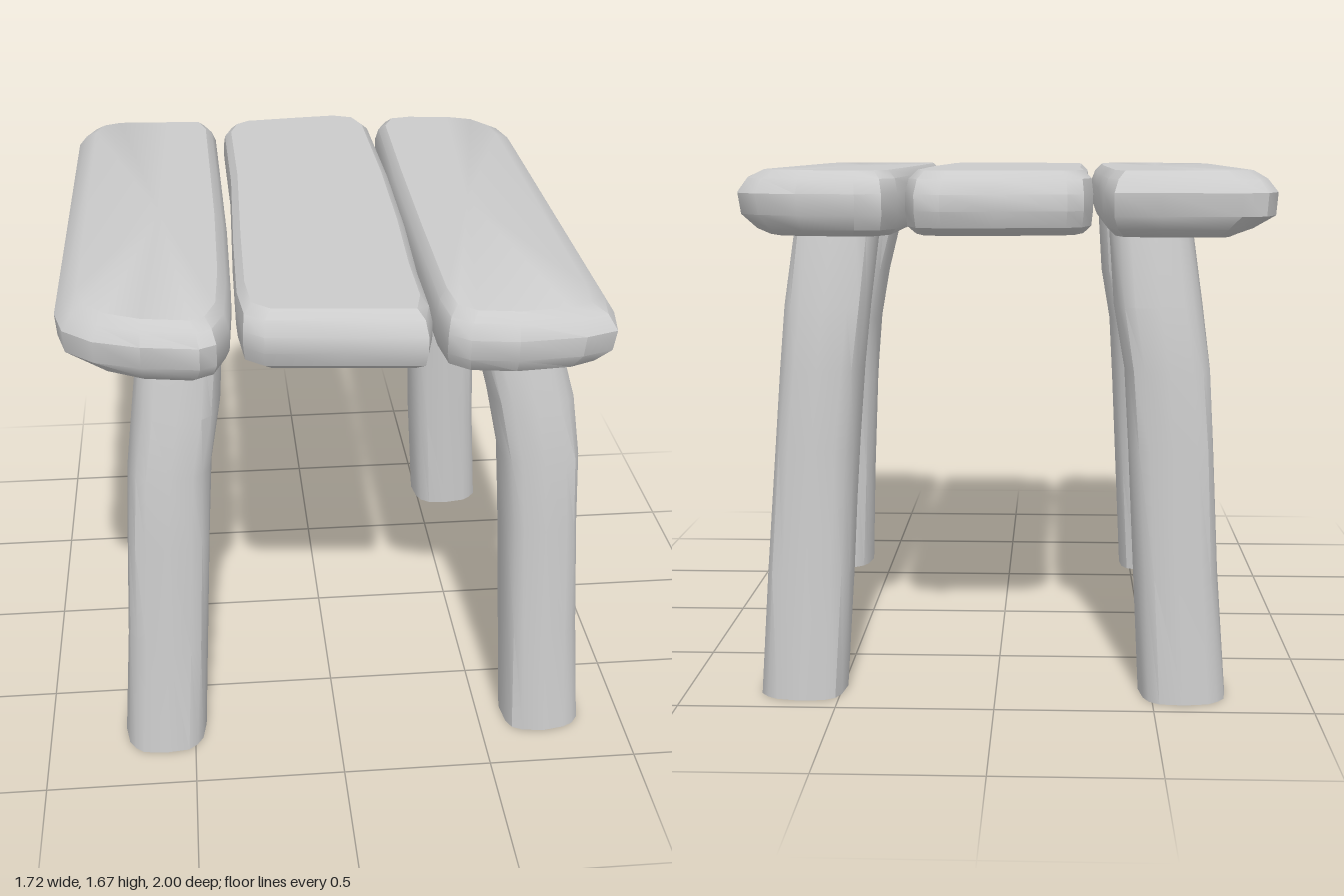
import * as THREE from 'three';
import { toCreasedNormals } from 'three/addons/utils/BufferGeometryUtils.js';

// Skin a stack of equal-length rings (clockwise seen from above, bottom to top).
function loft(rings, capped) {
  const n = rings[0].length, pos = rings.flat(2), idx = [];
  for (let r = 0; r < rings.length - 1; r++) {
    for (let i = 0; i < n; i++) {
      const a = r * n + i, b = r * n + (i + 1) % n;
      idx.push(a, a + n, b + n, a, b + n, b);
    }
  }
  if (capped) {
    const addCentre = ring => {
      const c = [0, 1, 2].map(k => ring.reduce((s, p) => s + p[k], 0) / n);
      pos.push(...c);
      return pos.length / 3 - 1;
    };
    const low = addCentre(rings[0]), high = addCentre(rings.at(-1));
    const top = (rings.length - 1) * n;
    for (let i = 0; i < n; i++) {
      const j = (i + 1) % n;
      idx.push(low, i, j, high, top + j, top + i);
    }
  }
  const g = new THREE.BufferGeometry();
  g.setAttribute('position', new THREE.Float32BufferAttribute(pos, 3));
  g.setIndex(idx);
  return toCreasedNormals(g, 0.6);
}

// Plank: outline [x, z] swept through bevel rows [y, insetLeftEdge, insetRightEdge, insetEnds].
function plankGeometry(outline, rows) {
  const xs = outline.map(p => p[0]);
  const min = Math.min(...xs), max = Math.max(...xs);
  const cx = (min + max) / 2, half = (max - min) / 2;
  return loft(rows.map(([y, i0, i1, end]) => outline.map(([x, z]) => {
    const u = (x - cx) / half;
    return [x - u * (u < 0 ? i0 : i1), y, z * (1 - end)];
  })), true);
}

// Leg: rounded-square section following edge positions at each level.
const LEVELS = [0, 0.4, 0.8, 1.05, 1.25, 1.48];
function legGeometry(x0, x1, z0, z1, twist) {
  const sides = 16;
  return loft(LEVELS.map((y, k) => {
    const ring = [];
    for (let i = 0; i < sides; i++) {
      const t = (i / sides) * Math.PI * 2;
      const c = Math.cos(t), s = Math.sin(t);
      const round = v => Math.sign(v) * Math.abs(v) ** 0.6;
      // slight hewn unevenness along the corners
      const w = 1 - 0.035 * (1 + Math.sin(3 * t + k * 1.7 + twist)) * Math.abs(Math.sin(2 * t));
      ring.push([
        (x0[k] + x1[k]) / 2 + (x1[k] - x0[k]) / 2 * round(c) * w, y,
        (z0[k] + z1[k]) / 2 + (z1[k] - z0[k]) / 2 * round(s) * w,
      ]);
    }
    return ring;
  }), false);
}

export function createModel() {
  const group = new THREE.Group();
  const wood = new THREE.MeshStandardMaterial({ color: 0xcccccc });
  const openWood = new THREE.MeshStandardMaterial({ color: 0xcccccc, side: THREE.DoubleSide });
  const add = (name, geometry, material) => {
    const mesh = new THREE.Mesh(geometry, material);
    mesh.name = name;
    group.add(mesh);
  };

  // Seat planks
  add('rightPlank', plankGeometry([
    [-0.82, -0.95], [-0.74, -0.98], [-0.5, -0.97], [-0.36, -0.96], [-0.33, -0.87], [-0.325, -0.4],
    [-0.32, 0.1], [-0.325, 0.6], [-0.34, 0.85], [-0.38, 0.95], [-0.43, 0.975], [-0.6, 0.95],
    [-0.74, 0.9], [-0.83, 0.82], [-0.86, 0.7], [-0.86, -0.86],
  ], [
    [1.47, 0.13, 0.04, 0.07], [1.495, 0.07, 0.015, 0.03], [1.535, 0.005, 0, 0.005],
    [1.605, 0, 0, 0], [1.645, 0.03, 0.015, 0.025], [1.67, 0.07, 0.04, 0.06],
  ]), wood);

  add('middlePlank', plankGeometry([
    [-0.3, -0.82], [-0.27, -0.92], [-0.22, -0.96], [0, -0.985], [0.16, -1], [0.24, -0.97],
    [0.275, -0.87], [0.285, -0.3], [0.28, 0.2], [0.265, 0.6], [0.265, 0.85], [0.24, 0.95],
    [0, 0.93], [-0.24, 0.91], [-0.3, 0.86], [-0.315, 0.7], [-0.31, 0.3], [-0.295, -0.3],
  ], [
    [1.475, 0.03, 0.03, 0.06], [1.5, 0.005, 0.005, 0.02], [1.55, 0, 0, 0],
    [1.6, 0, 0, 0.003], [1.645, 0.005, 0.01, 0.03], [1.67, 0.03, 0.035, 0.06],
  ]), wood);

  add('leftPlank', plankGeometry([
    [0.3, -0.85], [0.34, -0.94], [0.42, -0.955], [0.6, -0.94], [0.73, -0.9], [0.8, -0.82],
    [0.825, -0.7], [0.822, 0.82], [0.8, 0.95], [0.7, 0.985], [0.5, 1], [0.36, 0.98],
    [0.3, 0.93], [0.285, 0.8], [0.285, 0.3], [0.29, -0.3],
  ], [
    [1.47, 0.03, 0.1, 0.07], [1.49, 0.01, 0.06, 0.03], [1.535, 0, 0.01, 0.005],
    [1.6, 0, 0, 0], [1.645, 0.01, 0.03, 0.025], [1.67, 0.035, 0.08, 0.06],
  ]), wood);

  // Splayed legs, open at the foot
  const front = [[0.57, 0.555, 0.53, 0.5, 0.47, 0.46], [0.85, 0.82, 0.8, 0.785, 0.76, 0.72]];
  const back = [[-0.945, -0.92, -0.9, -0.89, -0.87, -0.82], [-0.66, -0.645, -0.63, -0.62, -0.595, -0.55]];
  const right = [[-0.74, -0.71, -0.69, -0.675, -0.65, -0.62], [-0.46, -0.44, -0.42, -0.405, -0.37, -0.355]];
  const leftFront = [[0.585, 0.57, 0.55, 0.53, 0.49, 0.43], [0.855, 0.83, 0.805, 0.79, 0.765, 0.705]];
  const leftBack = [[0.485, 0.46, 0.44, 0.42, 0.4, 0.375], [0.76, 0.735, 0.71, 0.69, 0.67, 0.645]];
  add('frontRightLeg', legGeometry(...right, ...front, 0), openWood);
  add('backRightLeg', legGeometry(...right, ...back, 2), openWood);
  add('frontLeftLeg', legGeometry(...leftFront, ...front, 4), openWood);
  add('backLeftLeg', legGeometry(...leftBack, ...back, 5), openWood);
  return group;
}
